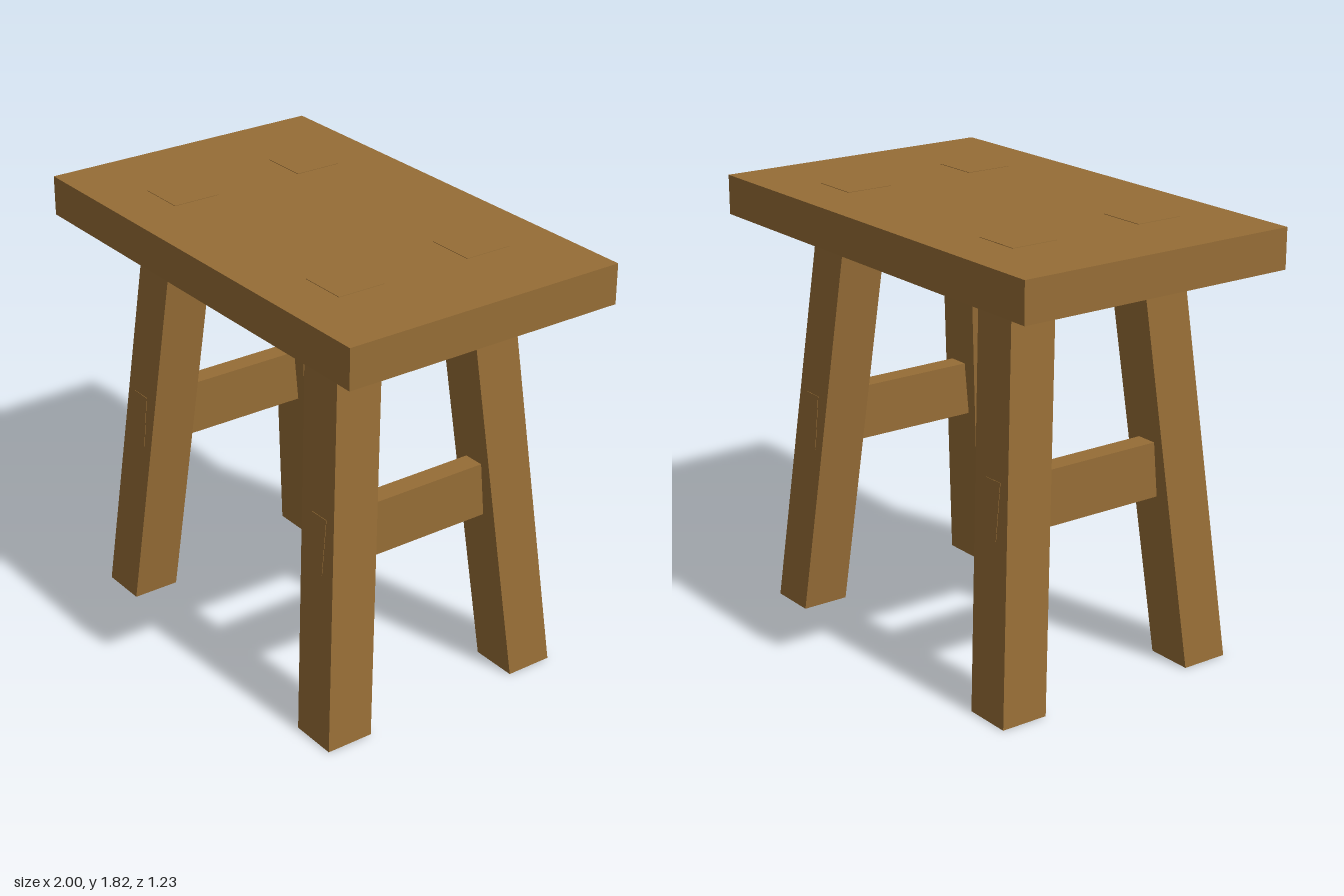
import * as THREE from 'three';

const SEAT_BOTTOM = 1.65, SEAT_TOP = 1.815;
const SPLAY = 0.0885; // outward lean per unit of height, in x and z
const LEG = 0.203, FOOT_X = 0.7, FOOT_Z = 0.456;
const RAIL_LOW = 0.71, RAIL_HIGH = 0.94, RAIL_THICK = 0.09;
const PROUD = 0.002; // joint ends stand just clear of the surface

// Move every vertex of a geometry by a rule
function reshape(geometry, rule) {
  const p = geometry.attributes.position;
  const v = new THREE.Vector3();
  for (let i = 0; i < p.count; i++) {
    rule(v.fromBufferAttribute(p, i));
    p.setXYZ(i, v.x, v.y, v.z);
  }
  geometry.computeVertexNormals();
  return geometry;
}

export function createModel() {
  const stool = new THREE.Group();
  stool.name = 'stool';
  const wood = new THREE.MeshStandardMaterial({ color: 0x966d36 });
  wood.name = 'brown wood';

  const add = (name, geometry) => {
    const mesh = new THREE.Mesh(geometry, wood);
    mesh.name = name;
    stool.add(mesh);
    return mesh;
  };

  // Seat slab
  add('seat', new THREE.BoxGeometry(2, SEAT_TOP - SEAT_BOTTOM, 1.234))
    .position.y = (SEAT_TOP + SEAT_BOTTOM) / 2;

  for (const sx of [-1, 1]) {
    const side = sx > 0 ? 'left' : 'right';

    // Splayed legs with level feet, running right through the seat
    for (const sz of [-1, 1]) {
      const height = SEAT_TOP + PROUD;
      const leg = new THREE.BoxGeometry(LEG, height, LEG).translate(0, height / 2, 0);
      add(`${side}${sz > 0 ? 'Front' : 'Back'}Leg`, reshape(leg, (v) => {
        v.x += sx * (FOOT_X - SPLAY * v.y);
        v.z += sz * (FOOT_Z - SPLAY * v.y);
      }));
    }

    // Side rail, its ends cut to follow the outer faces of the legs
    const midY = (RAIL_LOW + RAIL_HIGH) / 2;
    const rail = new THREE.BoxGeometry(RAIL_THICK, RAIL_HIGH - RAIL_LOW, 1)
      .translate(sx * (FOOT_X - SPLAY * midY), midY, 0);
    add(`${side}Rail`, reshape(rail, (v) => {
      v.z = Math.sign(v.z) * (FOOT_Z + LEG / 2 - SPLAY * v.y + PROUD);
    }));
  }
  return stool;
}
